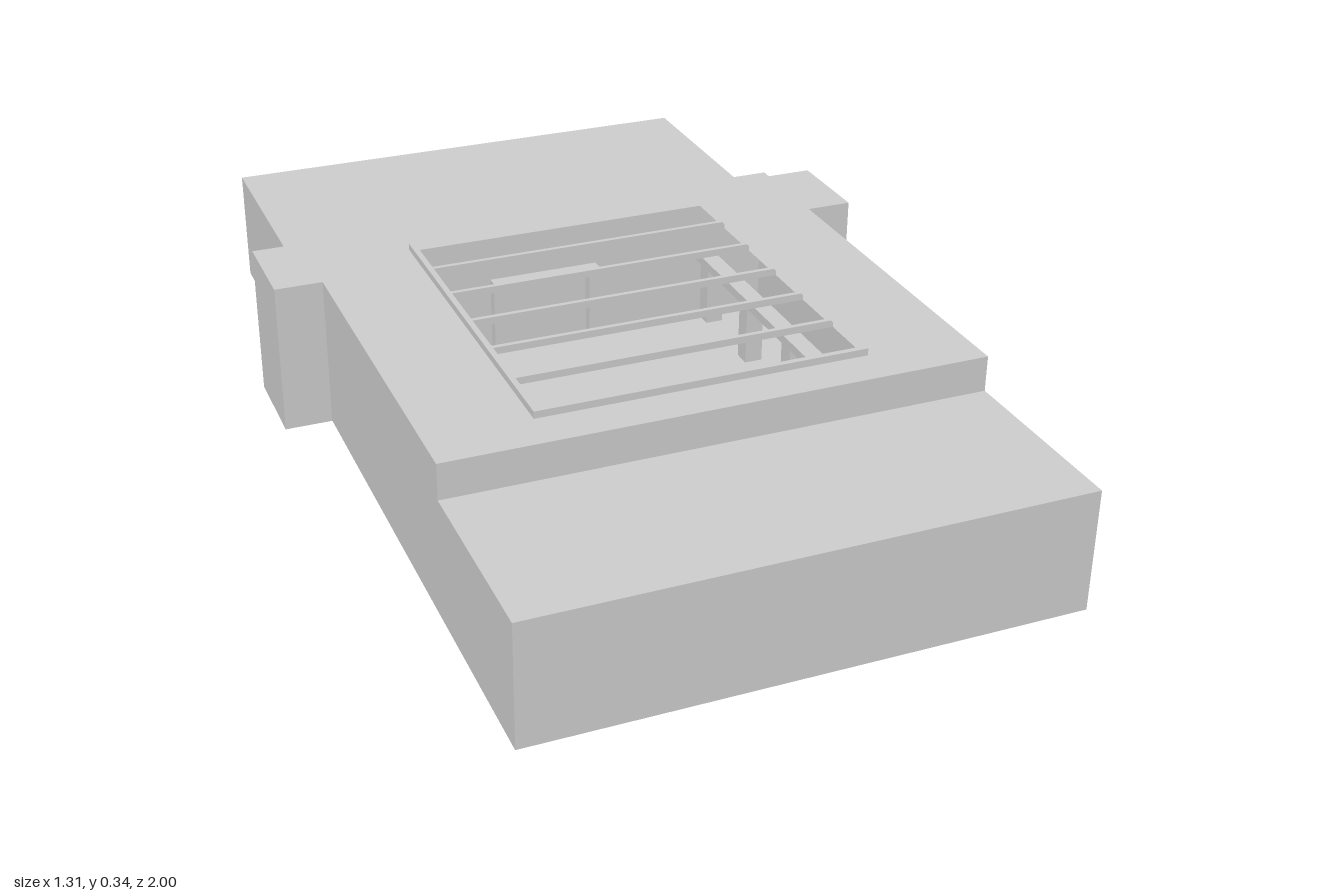
import * as THREE from 'three';

const grey = new THREE.MeshStandardMaterial({ color: 0xcccccc, flatShading: true });
const green = new THREE.MeshStandardMaterial({ color: 0x14a014, flatShading: true });
const blue = new THREE.MeshStandardMaterial({ color: 0x101080, flatShading: true });

// Box given by its minimum and maximum on each axis
function block(parent, name, [x0, x1], [y0, y1], [z0, z1], material = grey) {
  const mesh = new THREE.Mesh(new THREE.BoxGeometry(x1 - x0, y1 - y0, z1 - z0), material);
  mesh.position.set((x0 + x1) / 2, (y0 + y1) / 2, (z0 + z1) / 2);
  mesh.name = name;
  parent.add(mesh);
  return mesh;
}

function section(parent, name) {
  const group = new THREE.Group();
  group.name = name;
  parent.add(group);
  return group;
}

// Flat slab in the xz plane with a rectangular hole
function slabWithHole(name, [x0, x1], [z0, z1], [hx0, hx1], [hz0, hz1], y0, thickness) {
  const rect = (path, a, b, c, d) => path.moveTo(a, -c).lineTo(b, -c).lineTo(b, -d).lineTo(a, -d).closePath();
  const shape = rect(new THREE.Shape(), x0, x1, z0, z1);
  shape.holes.push(rect(new THREE.Path(), hx0, hx1, hz0, hz1));
  const geometry = new THREE.ExtrudeGeometry(shape, { depth: thickness, bevelEnabled: false });
  geometry.rotateX(-Math.PI / 2);
  const mesh = new THREE.Mesh(geometry, grey);
  mesh.position.y = y0;
  mesh.name = name;
  return mesh;
}

export function createModel() {
  const model = new THREE.Group();
  model.name = 'skylitHall';
  const W = 0.555, LOW = 0.255, HIGH = 0.33;

  // Lower wings at the front and back, with the rear door panel
  block(model, 'frontWing', [-W, W], [0, LOW], [0.6, 1]);
  block(model, 'backWing', [-W, W], [0, LOW], [-0.997, -0.4]);
  block(model, 'rearDoor', [-0.11, 0.11], [0.015, 0.25], [-1, -0.995]);

  // Hall shell
  const hall = section(model, 'hall');
  block(hall, 'floor', [-W, W], [0, 0.006], [-0.4, 0.6]);
  block(hall, 'frontWall', [-W, W], [0, HIGH], [0.59, 0.6]);
  block(hall, 'backWall', [-W, W], [0, HIGH], [-0.4, -0.39]);
  for (const s of [-1, 1]) {
    const xs = [s * W, s * (W - 0.01)].sort((a, b) => a - b);
    block(hall, 'sideWall', xs, [0, HIGH], [-0.4, 0.6]);
  }
  hall.add(slabWithHole('roof', [-W, W], [-0.4, 0.6], [-0.335, 0.335], [-0.275, 0.505], HIGH - 0.008, 0.008));

  // Side bays
  block(model, 'rightBay', [-0.657, -W], [0, HIGH], [-0.4, -0.195]);
  block(model, 'leftBay', [W, 0.655], [0, HIGH], [-0.375, -0.168]);

  // Skylight frame and crossbars
  const skylight = section(model, 'skylight');
  skylight.add(slabWithHole('skylightFrame', [-0.342, 0.342], [-0.283, 0.511],
    [-0.33, 0.33], [-0.271, 0.499], HIGH - 0.003, 0.018));
  for (const z of [-0.147, -0.02, 0.113, 0.24, 0.372]) {
    block(skylight, 'crossbar', [-0.335, 0.335], [HIGH, HIGH + 0.015], [z - 0.005, z + 0.005]);
  }

  // Colonnades along both long sides
  const colonnades = section(model, 'colonnades');
  for (const s of [-1, 1]) {
    const x = s * 0.4;
    for (let i = 0; i < 5; i++) {
      const z = -0.34 + i * 0.215;
      block(colonnades, 'pier', [x - 0.02, x + 0.02], [0, 0.15], [z - 0.02, z + 0.02]);
    }
    block(colonnades, 'beam', [x - 0.02, x + 0.02], [0.14, 0.16], [-0.39, 0.59]);
  }

  // Doorway surround inside the back wall
  const doorway = section(model, 'innerDoorway');
  for (const s of [-1, 1]) {
    block(doorway, 'doorPost', [s * 0.115 - 0.012, s * 0.115 + 0.012], [0, 0.165], [-0.39, -0.365]);
  }
  block(doorway, 'lintel', [-0.127, 0.127], [0.155, 0.175], [-0.39, -0.365]);

  // Coloured band and hanging on the inside of the front wall
  block(model, 'greenBand', [-0.22, 0.27], [0.235, 0.265], [0.582, 0.59], green);
  block(model, 'blueHanging', [0.145, 0.185], [0.05, 0.135], [0.57, 0.59], blue);

  return model;
}
